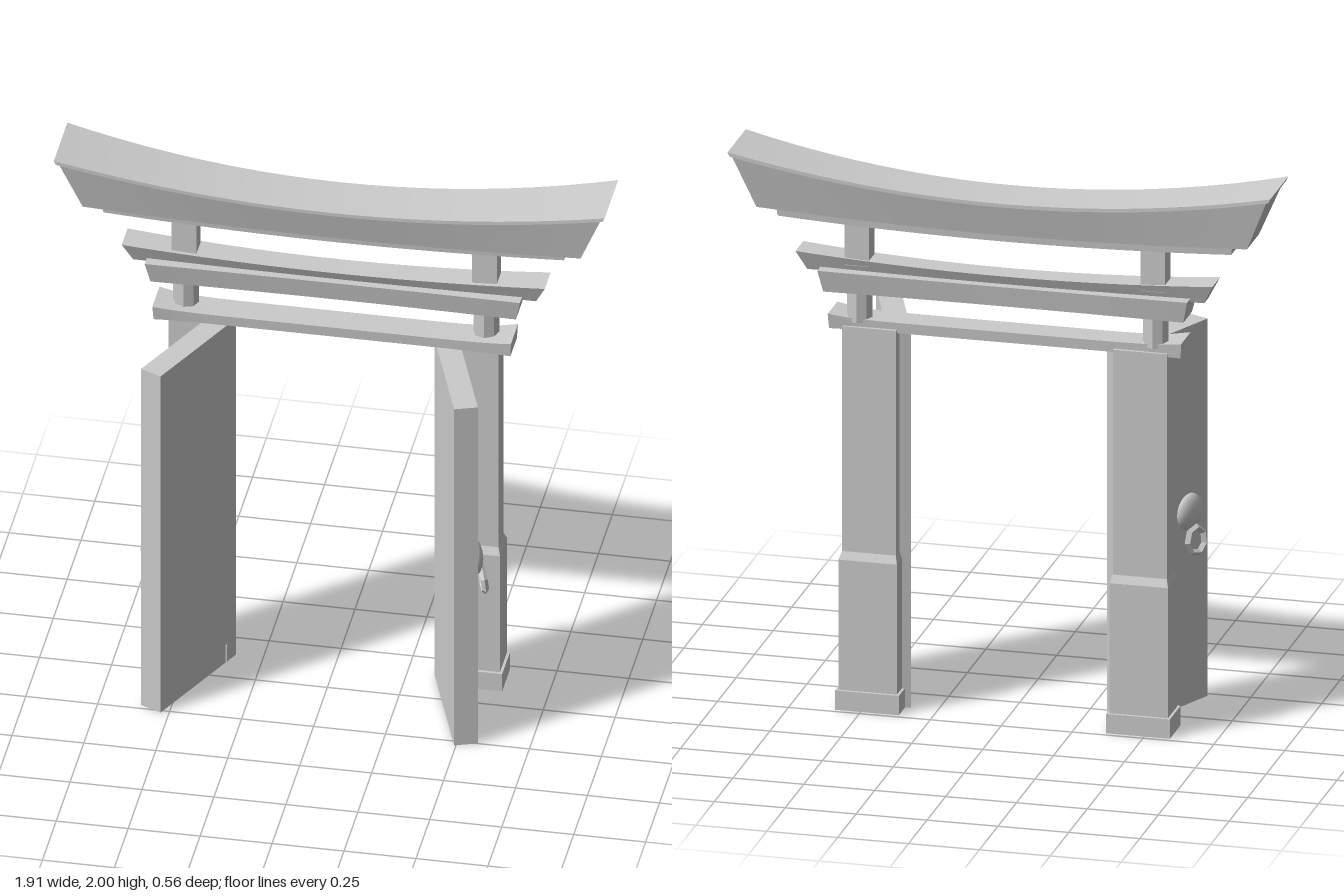
import * as THREE from 'three';
import { toCreasedNormals } from 'three/addons/utils/BufferGeometryUtils.js';

const Z = -0.16; // depth of the gate's centre plane
const mat = new THREE.MeshStandardMaterial({ color: 0xcccccc });

function add(parent, name, geometry, x = 0, y = 0, z = 0) {
  const mesh = new THREE.Mesh(geometry, mat);
  mesh.name = name;
  mesh.position.set(x, y, z);
  parent.add(mesh);
  return mesh;
}

// Beam along x: four-cornered sections between a top and a bottom edge.
// Each edge gives half length x, height y and half depth w, which grow
// by dy and dw towards the ends.
function beam(top, bottom, power = 2, segments = 20) {
  const pos = [], index = [];
  const corner = (e, s, side) => {
    const k = Math.abs(s) ** power;
    pos.push(s * e.x, e.y + (e.dy || 0) * k, side * (e.w + (e.dw || 0) * k));
  };
  for (let i = 0; i <= segments; i++) {
    const s = -1 + (2 * i) / segments;
    corner(top, s, 1);
    corner(top, s, -1);
    corner(bottom, s, -1);
    corner(bottom, s, 1);
  }
  for (let i = 0; i < segments; i++) {
    for (let j = 0; j < 4; j++) {
      const a = i * 4 + j, b = i * 4 + ((j + 1) % 4);
      index.push(a, a + 4, b, b, a + 4, b + 4);
    }
  }
  const n = segments * 4;
  index.push(0, 1, 2, 0, 2, 3, n, n + 2, n + 1, n, n + 3, n + 2);
  const g = new THREE.BufferGeometry();
  g.setAttribute('position', new THREE.Float32BufferAttribute(pos, 3));
  g.setIndex(index);
  return toCreasedNormals(g, 0.4);
}

// Box standing on y0, with an optional narrower top
function block(w, d, y0, y1, topW = w, topD = d) {
  const g = new THREE.BoxGeometry(w, y1 - y0, d).translate(0, (y0 + y1) / 2, 0);
  const p = g.attributes.position;
  for (let i = 0; i < p.count; i++) {
    if (p.getY(i) > (y0 + y1) / 2) {
      p.setX(i, (p.getX(i) * topW) / w);
      p.setZ(i, (p.getZ(i) * topD) / d);
    }
  }
  return toCreasedNormals(g, 0.1);
}

// Open door leaf hung on its inner back edge, knocker on the outer face
function door(side, angle) {
  const leaf = new THREE.Group();
  const length = 0.446, thick = 0.082;
  add(leaf, 'doorPanel', new THREE.BoxGeometry(thick, 1.365, length),
    side * thick / 2, 1.365 / 2, length / 2);
  const knob = add(leaf, 'knockerBoss',
    new THREE.SphereGeometry(0.065, 24, 16), side * thick, 0.695, 0.345);
  knob.scale.x = 0.5;
  const ring = add(leaf, 'knockerRing',
    toCreasedNormals(new THREE.TorusGeometry(0.046, 0.012, 4, 7), 0.3),
    side * (thick + 0.034), 0.6, 0.34);
  ring.rotation.set(0, Math.PI / 2, side * 0.12, 'ZYX');
  leaf.position.set(side * 0.345, 0, -0.144);
  leaf.rotation.y = side * angle;
  return leaf;
}

export function createModel() {
  const gate = new THREE.Group();
  gate.name = 'gate';

  // Curved roof
  add(gate, 'roofCap', beam(
    { x: 0.957, y: 1.89, dy: 0.11, w: 0.098, dw: 0.025 },
    { x: 0.95, y: 1.877, dy: 0.108, w: 0.098, dw: 0.025 }), 0, 0, Z + 0.003);
  add(gate, 'roofBeam', beam(
    { x: 0.943, y: 1.88, dy: 0.106, w: 0.094, dw: 0.023 },
    { x: 0.865, y: 1.768, dy: 0.03, w: 0.068, dw: 0.014 }), 0, 0, Z);
  add(gate, 'roofSupport', beam(
    { x: 0.805, y: 1.785, dy: 0.015, w: 0.05 },
    { x: 0.8, y: 1.737, dy: 0.023, w: 0.046 }), 0, 0, Z);

  // Tie beams
  add(gate, 'upperTieBeam', beam(
    { x: 0.735, y: 1.61, dy: 0.03, w: 0.045, dw: 0.008 },
    { x: 0.7, y: 1.57, w: 0.028 }), 0, 0, Z);
  add(gate, 'lowerTieBeam', beam(
    { x: 0.652, y: 1.578, dy: 0.006, w: 0.062, dw: 0.012 },
    { x: 0.635, y: 1.505, w: 0.05, dw: 0.008 }), 0, 0, Z - 0.003);
  add(gate, 'lintel', beam(
    { x: 0.623, y: 1.405, dy: 0.016, w: 0.053, dw: 0.012 },
    { x: 0.62, y: 1.367, w: 0.05, dw: 0.008 }, 8), 0, 0, -0.142);

  for (const side of [1, -1]) {
    // Pillar with stepped foot
    const pillar = new THREE.Group();
    pillar.name = side > 0 ? 'leftPillar' : 'rightPillar';
    pillar.position.set(side * 0.478, 0, Z);
    add(pillar, 'pillarBase', block(0.225, 0.145, 0, 0.07));
    add(pillar, 'pillarFoot', block(0.206, 0.122, 0.07, 0.54));
    add(pillar, 'pillarChamfer', block(0.206, 0.122, 0.54, 0.567, 0.19, 0.092));
    add(pillar, 'pillarShaft', block(0.19, 0.092, 0.55, 1.38));
    gate.add(pillar);

    // Short posts carrying the beams and roof
    add(gate, 'lowerPost', toCreasedNormals(
      new THREE.CylinderGeometry(0.045, 0.045, 0.12, 8), 0.3), side * 0.522, 1.455, Z);
    add(gate, 'upperPost', block(0.086, 0.074, 1.6, 1.76), side * 0.522, 0, Z - 0.003);

    const leaf = door(side, side > 0 ? 0.34 : 0.425);
    leaf.name = side > 0 ? 'leftDoor' : 'rightDoor';
    gate.add(leaf);
  }
  return gate;
}
